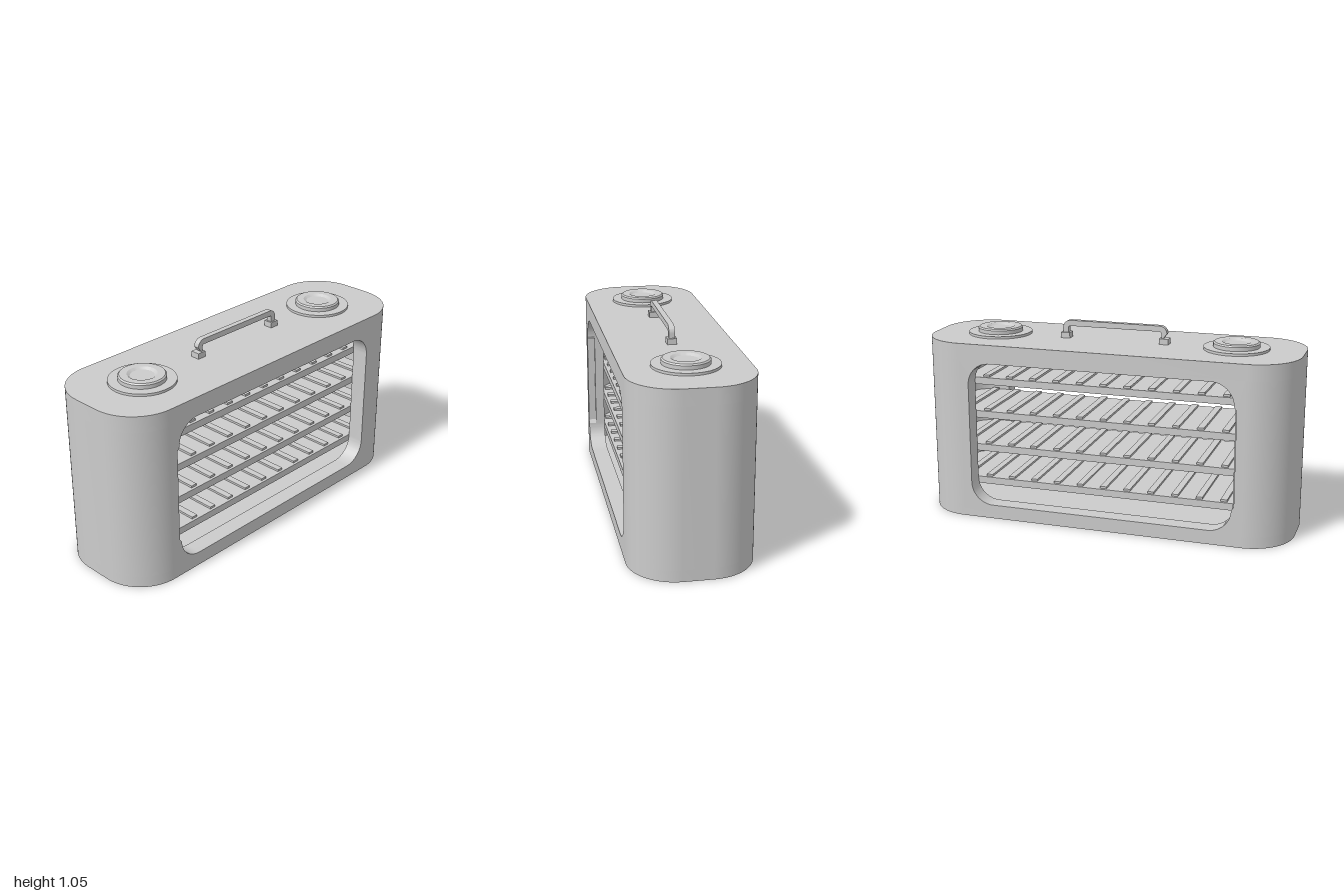
import * as THREE from 'three';
import { toCreasedNormals } from 'three/addons/utils/BufferGeometryUtils.js';

const mat = new THREE.MeshStandardMaterial({ color: 0xcccccc });
const W = 0.315, L = 1, R = 0.24, T = 0.09; // half width, half length, corner radius, wall
const FLOOR = 0.06, CEIL = 0.87, TOP = 0.955;

function add(parent, name, geometry, x = 0, y = 0, z = 0) {
  const mesh = new THREE.Mesh(geometry, mat);
  mesh.name = name;
  mesh.position.set(x, y, z);
  parent.add(mesh);
  return mesh;
}

const box = (w, h, d) => new THREE.BoxGeometry(w, h, d);

function roundedRect(path, x0, y0, x1, y1, r) {
  path.absarc(x1 - r, y0 + r, r, -Math.PI / 2, 0, false);
  path.absarc(x1 - r, y1 - r, r, 0, Math.PI / 2, false);
  path.absarc(x0 + r, y1 - r, r, Math.PI / 2, Math.PI, false);
  path.absarc(x0 + r, y0 + r, r, Math.PI, Math.PI * 1.5, false);
  path.closePath();
  return path;
}

// Plan shape (x, z) extruded upward from y0 to y1
function extrudeUp(shape, y0, y1) {
  const g = new THREE.ExtrudeGeometry(shape, { depth: y1 - y0, bevelEnabled: false, curveSegments: 16 });
  g.rotateX(Math.PI / 2);
  g.translate(0, y1, 0);
  return toCreasedNormals(g, 0.5);
}

// Side shape (z, y) extruded along x, centred
function extrudeAcross(shape, depth) {
  const g = new THREE.ExtrudeGeometry(shape, { depth, bevelEnabled: false, curveSegments: 12 });
  g.translate(0, 0, -depth / 2);
  g.rotateY(-Math.PI / 2);
  return toCreasedNormals(g, 0.5);
}

// C-shaped plan of a curved end wall
function endWallShape() {
  const s = new THREE.Shape(), c = L - R, r = R - T;
  s.moveTo(W, c);
  s.absarc(W - R, c, R, 0, Math.PI / 2, false);
  s.absarc(R - W, c, R, Math.PI / 2, Math.PI, false);
  s.lineTo(T - W, c);
  s.absarc(R - W, c, r, Math.PI, Math.PI / 2, true);
  s.absarc(W - R, c, r, Math.PI / 2, 0, true);
  s.closePath();
  return s;
}

// Side panel with the rounded window and a shallow slot on its front edge
function sidePanelShape() {
  const s = new THREE.Shape();
  const c = L - R;
  s.moveTo(-c, FLOOR);
  s.lineTo(c, FLOOR);
  s.lineTo(c, CEIL);
  s.lineTo(-c, CEIL);
  s.closePath();
  const z = 0.71, y0 = 0.075, y1 = 0.855, r = 0.12;
  const h = new THREE.Path();
  h.absarc(z - r, y0 + r, r, -Math.PI / 2, 0, false);
  h.lineTo(0.723, 0.215);
  h.lineTo(0.723, 0.715);
  h.absarc(z - r, y1 - r, r, 0, Math.PI / 2, false);
  h.absarc(r - z, y1 - r, r, Math.PI / 2, Math.PI, false);
  h.absarc(r - z, y0 + r, r, Math.PI, Math.PI * 1.5, false);
  h.closePath();
  s.holes.push(h);
  return s;
}

function handleGroup() {
  const g = new THREE.Group();
  g.name = 'carryHandle';
  const s = new THREE.Shape(), o = 0.285, t = 0.03, y = 1.05, b = 0.97;
  s.moveTo(o, b);
  s.absarc(o - 0.04, y - 0.04, 0.04, 0, Math.PI / 2, false);
  s.absarc(0.04 - o, y - 0.04, 0.04, Math.PI / 2, Math.PI, false);
  s.lineTo(-o, b);
  s.lineTo(t - o, b);
  s.absarc(0.04 - o, y - 0.04, 0.01, Math.PI, Math.PI / 2, true);
  s.absarc(o - 0.04, y - 0.04, 0.01, Math.PI / 2, 0, true);
  s.lineTo(o - t, b);
  s.closePath();
  add(g, 'handleBar', extrudeAcross(s, 0.03));
  for (const k of [-1, 1]) add(g, 'handleFoot', box(0.05, 0.03, 0.05), 0, TOP + 0.015, k * 0.27);
  return g;
}

export function createModel() {
  const model = new THREE.Group();
  model.name = 'cabinet';

  // Hollow body
  const plan = () => roundedRect(new THREE.Shape(), -W, -L, W, L, R);
  add(model, 'floor', extrudeUp(plan(), 0, FLOOR));
  add(model, 'roof', extrudeUp(plan(), CEIL, TOP));
  const end = extrudeUp(endWallShape(), FLOOR, CEIL);
  add(model, 'frontEndWall', end);
  add(model, 'backEndWall', end).rotation.y = Math.PI;
  const panel = extrudeAcross(sidePanelShape(), T);
  for (const k of [-1, 1]) {
    add(model, 'sidePanel', panel, k * (W - T / 2));
    add(model, 'windowSlotStrip', box(0.05, 0.6, 0.03), k * 0.25, 0.465, 0.725);
  }

  // Shelves with raised cross ribs
  for (let i = 0; i < 4; i++) {
    const shelf = new THREE.Group();
    shelf.name = 'shelf';
    shelf.position.y = 0.18 + i * 0.186;
    add(shelf, 'shelfBoard', box(0.45, 0.038, 1.76));
    for (let j = -6; j <= 6; j++) add(shelf, 'shelfRib', box(0.42, 0.012, 0.035), 0, 0.024, j * 0.13);
    model.add(shelf);
  }

  // Round caps on the roof
  const profile = [[0.17, 0], [0.17, 0.013], [0.12, 0.013], [0.12, 0.033], [0.113, 0.04],
    [0.075, 0.04], [0.06, 0.03], [0, 0.03]].map(([x, y]) => new THREE.Vector2(x, y));
  const cap = toCreasedNormals(new THREE.LatheGeometry(profile, 48).toNonIndexed(), 0.5);
  for (const k of [-1, 1]) add(model, 'roofCap', cap, 0, TOP, k * 0.65);

  model.add(handleGroup());
  return model;
}
